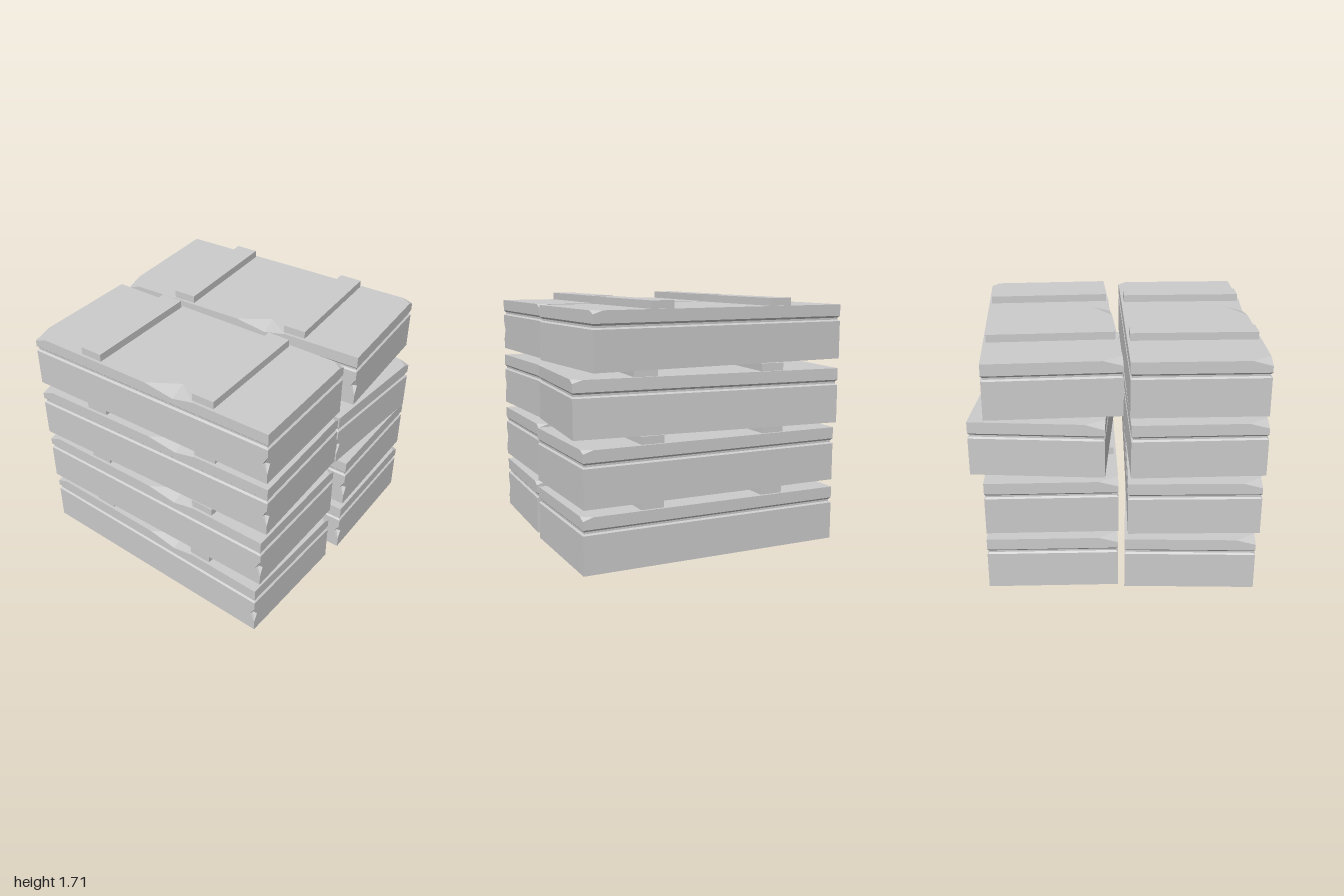
import * as THREE from 'three';

const HX = 0.935, HZ = 0.444, H = 0.375; // slab half width, half depth, height
const STEP = 0.427;                      // distance between layers

// Slab with a groove all round, chipped corners and a dent in the front edge,
// built from outline rings stacked in y (counter-clockwise seen from above).
function slabGeometry() {
  const tris = [];
  const tri = (a, b, c) => {
    const n = b.clone().sub(a).cross(c.clone().sub(a));
    if (n.length() > 1e-9) for (const p of [a, b, c]) tris.push(p.x, p.y, p.z);
  };
  const ring = (y, inset = 0, notch = 0) => {
    const pts = [
      [-HX, HZ], [-HX + 0.09, HZ], [0.01, HZ], [0.23, HZ], [0.39, HZ],
      // front right corner, pushed in where it is chipped
      [HX - 0.035 * notch, HZ], [HX - 0.03 * notch, HZ - 0.023 * notch], [HX, HZ - 0.03 * notch],
      [HX, -HZ + 0.055], [HX, -HZ], [HX - 0.07, -HZ], [-HX, -HZ], [-HX, HZ - 0.13],
    ];
    const sx = 1 - inset / HX, sz = 1 - inset / HZ;
    return pts.map(([x, z]) => new THREE.Vector3(x * sx, y, z * sz));
  };

  const top = ring(H);
  top[0].y -= 0.035; // left corner chip
  top[3].y -= 0.035; // front edge dent
  top[9].y -= 0.022; // back corner chip
  const rings = [
    ring(0), ring(0.075), ring(0.14, 0, 1), ring(0.205),
    ring(0.26), ring(0.27, 0.012), ring(0.283, 0.012), ring(0.296), top,
  ];

  // Sides
  const n = top.length;
  for (let r = 0; r < rings.length - 1; r++) {
    for (let i = 0; i < n; i++) {
      const j = (i + 1) % n, lo = rings[r], up = rings[r + 1];
      tri(lo[i], lo[j], up[j]);
      tri(lo[i], up[j], up[i]);
    }
  }
  // Bottom
  for (let i = 1; i < n - 1; i++) {
    tri(rings[0][10], rings[0][(10 + i + 1) % n], rings[0][(10 + i) % n]);
  }
  // Top, leaving out the chips
  const apex = new THREE.Vector3(0.22, H, HZ - 0.125);
  const cap = [10, 11, 12, 1, 2, 3, 4, 5, 8].map((k) => (k === 3 ? apex : top[k]));
  for (let i = 1; i < cap.length - 1; i++) tri(cap[0], cap[i], cap[i + 1]);
  // Sloping faces of the chips and the dent
  tri(top[12], top[0], top[1]);
  tri(top[2], top[3], apex);
  tri(top[3], top[4], apex);
  tri(top[8], top[9], top[10]);

  const geo = new THREE.BufferGeometry();
  geo.setAttribute('position', new THREE.Float32BufferAttribute(tris, 3));
  geo.computeVertexNormals();
  return geo;
}

export function createModel() {
  const model = new THREE.Group();
  model.name = 'stackedSlabs';
  const material = new THREE.MeshStandardMaterial({ color: 0xcccccc, flatShading: true });
  const slabGeo = slabGeometry();
  const battenGeo = new THREE.BoxGeometry(0.16, STEP - H, 0.85);

  // x, z and yaw in degrees of each slab, from the bottom layer up
  const columns = {
    front: [[0.025, 0.515, 0], [0.025, 0.51, 1.7], [0.023, 0.498, 3.5], [0.022, 0.497, 3.07]],
    back: [[0.025, -0.46, 2.65], [0.025, -0.463, 3.05], [0.022, -0.467, -2.1], [-0.012, -0.47, 5.55]],
  };

  for (const [side, layers] of Object.entries(columns)) {
    layers.forEach(([x, z, yaw], i) => {
      const unit = new THREE.Group();
      unit.name = `${side}Layer${i + 1}`;
      unit.position.set(x, i * STEP, z);
      unit.rotation.y = THREE.MathUtils.degToRad(yaw);

      const slab = new THREE.Mesh(slabGeo, material);
      slab.name = 'slab';
      unit.add(slab);

      // Two spacer battens on top
      for (const [name, bx] of [['rightBatten', -0.445], ['leftBatten', 0.45]]) {
        const batten = new THREE.Mesh(battenGeo, material);
        batten.name = name;
        batten.position.set(bx, (H + STEP) / 2, 0);
        unit.add(batten);
      }
      model.add(unit);
    });
  }
  return model;
}
